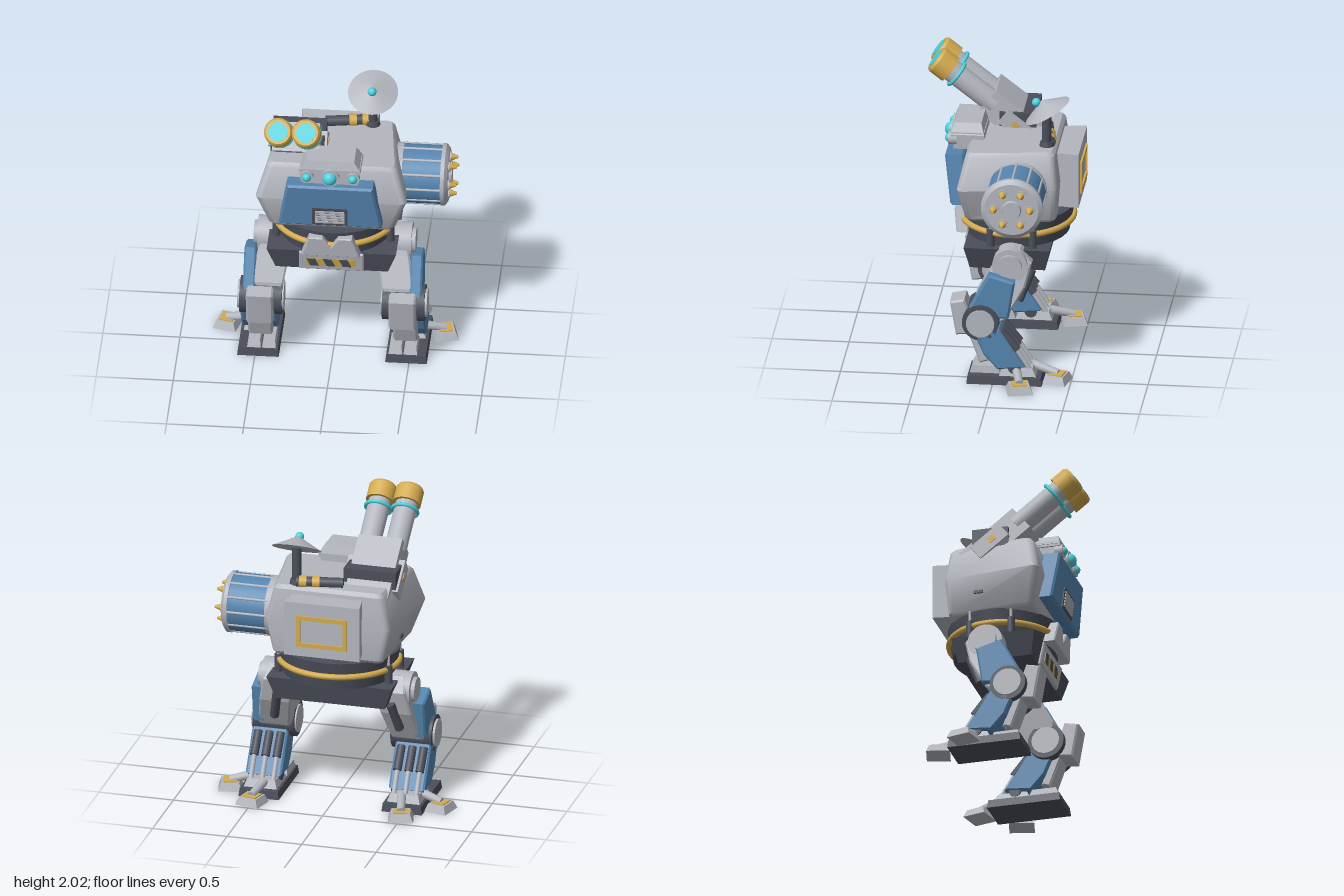
import * as THREE from 'three';
import { toCreasedNormals } from 'three/addons/utils/BufferGeometryUtils.js';

const mat = (name, color) => Object.assign(new THREE.MeshStandardMaterial({ color }), { name });
const V = (a) => new THREE.Vector3(...a);

export function createModel() {
  const gray = mat('lightGrayArmor', 0xb3b6be), blue = mat('bluePaint', 0x5585b0), dark = mat('darkMetal', 0x4b4f5a);
  const gold = mat('goldTrim', 0xd2aa4e), teal = mat('tealGlow', 0x4ccfdb);
  const root = new THREE.Group();
  root.name = 'walkerRobot';

  const group = (name, parent = root) => {
    const g = new THREE.Group();
    g.name = name;
    parent.add(g);
    return g;
  };
  const add = (parent, name, geo, m, pos = [0, 0, 0]) => {
    const mesh = new THREE.Mesh(geo, m);
    mesh.name = name;
    mesh.position.set(...pos);
    parent.add(mesh);
    return mesh;
  };
  // Box whose top face is scaled by tx, tz
  const block = (parent, name, m, [w, h, d], pos, tx = 1, tz = 1) => {
    const g = new THREE.BoxGeometry(w, h, d), p = g.attributes.position;
    for (let i = 0; i < p.count; i++) if (p.getY(i) > 0) p.setXYZ(i, p.getX(i) * tx, p.getY(i), p.getZ(i) * tz);
    g.computeVertexNormals();
    return add(parent, name, g, m, pos);
  };
  // Cylinder or cone running from a to b
  const rod = (parent, name, m, a, b, r1, r2 = r1, seg = 28) => {
    const A = V(a), B = V(b), dir = B.clone().sub(A);
    const mesh = add(parent, name, new THREE.CylinderGeometry(r2, r1, dir.length(), seg), m);
    mesh.position.copy(A).add(B).multiplyScalar(0.5);
    mesh.quaternion.setFromUnitVectors(new THREE.Vector3(0, 1, 0), dir.normalize());
    return mesh;
  };
  const extrude = (pts, depth, bevel) => new THREE.ExtrudeGeometry(new THREE.Shape(pts.map(([x, y]) => new THREE.Vector2(x, y))), {
    depth: depth - 2 * bevel, bevelEnabled: bevel > 0, bevelSize: bevel, bevelThickness: bevel, bevelOffset: -bevel, bevelSegments: 1,
  }).translate(0, 0, bevel);
  // Front outline (x, y) given depth in z, leaning forward with height
  const frontPlate = (parent, name, m, pts, z0, z1, lean = 0, y0 = 0, bevel = 0) => {
    const g = extrude(pts, z1 - z0, bevel).translate(0, 0, z0), p = g.attributes.position;
    for (let i = 0; i < p.count; i++) p.setZ(i, p.getZ(i) + (p.getY(i) - y0) * lean);
    g.computeVertexNormals();
    return add(parent, name, g, m);
  };
  // Side outline (z, y) given width in x, splaying outward below the hip
  const sidePlate = (parent, name, m, pts, s, x0, x1, splay = 0, bevel = 0.012) => {
    const g = extrude(pts, x1 - x0, bevel).rotateY(-Math.PI / 2).translate(s > 0 ? x1 : -x0, 0, 0), p = g.attributes.position;
    for (let i = 0; i < p.count; i++) p.setX(i, p.getX(i) + s * splay * (0.8 - p.getY(i)));
    g.computeVertexNormals();
    return add(parent, name, g, m);
  };
  const rect = (x0, x1, y0, y1) => [[x0, y0], [x1, y0], [x1, y1], [x0, y1]];
  // Stacked rounded rectangles: [y, half width at back, half width at front, zBack, zFront]
  const loft = (rings, r) => {
    const pos = [], idx = [], n = 16;
    for (const [y, hb, hf, zb, zf] of rings) {
      for (let j = 0; j < n; j++) {
        const k = Math.floor(j / 4), a = (k + (j % 4) / 3) * Math.PI / 2;
        const sx = k === 0 || k === 3 ? 1 : -1, front = k < 2;
        pos.push(sx * ((front ? hf : hb) - r) + r * Math.cos(a), y, (front ? zf - r : zb + r) + r * Math.sin(a));
      }
    }
    for (let i = 0; i < rings.length - 1; i++) {
      for (let j = 0; j < n; j++) {
        const a = i * n + j, b = i * n + (j + 1) % n;
        idx.push(a, a + n, b, b, a + n, b + n);
      }
    }
    const t = (rings.length - 1) * n;
    for (let j = 1; j < n - 1; j++) idx.push(0, j, j + 1, t, t + j + 1, t + j);
    const g = new THREE.BufferGeometry();
    g.setAttribute('position', new THREE.Float32BufferAttribute(pos, 3));
    g.setIndex(idx);
    return toCreasedNormals(g, 0.55);
  };

  // Torso shell, chest plate and vent
  const torso = group('torso');
  add(torso, 'torsoShell', loft([
    [1.05, 0.36, 0.39, -0.37, 0.19], [1.07, 0.375, 0.41, -0.385, 0.205], [1.29, 0.42, 0.49, -0.4, 0.25],
    [1.505, 0.37, 0.425, -0.375, 0.2], [1.53, 0.35, 0.405, -0.355, 0.18]], 0.04), gray);
  frontPlate(torso, 'chestPlate', blue, [[-0.335, 1.13], [0.335, 1.13], [0.325, 1.2], [0.28, 1.46], [-0.28, 1.46], [-0.325, 1.2]], 0.18, 0.305, 0.13, 1.13, 0.014);
  frontPlate(torso, 'ventFrame', dark, rect(-0.115, 0.115, 1.15, 1.285), 0.295, 0.312, 0.13, 1.13);
  for (let i = 0; i < 5; i++) {
    const y = 1.167 + i * 0.021;
    frontPlate(torso, 'ventSlat', gray, rect(-0.095, 0.095, y, y + 0.014), 0.31, 0.319, 0.13, 1.13);
  }

  // Backpack with a gold frame
  const pack = group('backpack');
  block(pack, 'backpackBox', gray, [0.46, 0.15, 0.37], [0, 1.295, -0.445], 1.1, 1).rotation.x = -Math.PI / 2;
  for (const s of [-1, 1]) {
    block(pack, 'frameRail', gold, [0.34, 0.028, 0.02], [0, 1.285 + s * 0.093, -0.523]);
    block(pack, 'framePost', gold, [0.028, 0.2, 0.02], [s * 0.156, 1.285, -0.523]);
    block(pack, 'sideSlot', dark, [0.012, 0.02, 0.06], [s * 0.435, 1.17, -0.16]);
  }

  // Sensor head with three eyes
  const head = group('sensorHead');
  block(head, 'headBody', gray, [0.36, 0.12, 0.2], [0, 1.52, 0.2], 1.02, 1);
  block(head, 'headHood', gray, [0.4, 0.07, 0.22], [0, 1.6, 0.21], 0.78, 0.8);
  block(head, 'headBrow', gray, [0.39, 0.03, 0.22], [0, 1.565, 0.21]);
  for (const [x, r] of [[-0.15, 0.03], [0, 0.047], [0.15, 0.03]]) {
    rod(head, 'eyeBezel', gray, [x, 1.525, 0.28], [x, 1.525, 0.335], r + 0.014);
    add(head, 'eyeLens', new THREE.SphereGeometry(r, 24, 14), teal, [x, 1.525, 0.33]);
  }

  // Waist, ring pipe and clamps
  const waist = group('waist');
  add(waist, 'waistDrum', new THREE.CylinderGeometry(0.37, 0.335, 0.19, 48), dark, [0, 0.96, -0.1]).scale.x = 1.09;
  add(waist, 'ringPipe', new THREE.TorusGeometry(0.362, 0.02, 12, 56).rotateX(Math.PI / 2), gold, [0, 0.96, -0.1]).scale.x = 1.08;
  for (const s of [-1, 1]) for (const z of [0.04, -0.235]) {
    rod(waist, 'clampPost', dark, [s * 0.37, 0.87, z], [s * 0.37, 0.99, z], 0.026);
    rod(waist, 'clampStem', gray, [s * 0.37, 0.99, z], [s * 0.37, 1.08, z], 0.01);
    rod(waist, 'clampCap', gold, [s * 0.37, 1.08, z], [s * 0.37, 1.1, z], 0.014);
  }
  frontPlate(waist, 'waistPlate', gray, [[-0.19, 0.88], [0.19, 0.88], [0.14, 1.03], [0.05, 1.03], [0, 0.95], [-0.05, 1.03], [-0.14, 1.03]], 0.21, 0.29, 0.12, 0.95, 0.008);

  // Pelvis with the hazard panel
  const pelvis = group('pelvis');
  block(pelvis, 'pelvisBlock', dark, [0.73, 0.155, 0.49], [0, 0.79, -0.07], 1.15, 1.14);
  frontPlate(pelvis, 'pelvisPlate', gray, rect(-0.21, 0.21, 0.715, 0.865), 0.15, 0.2, 0.2, 0.74, 0.008);
  frontPlate(pelvis, 'hazardPanel', gold, rect(-0.16, 0.16, 0.755, 0.815), 0.199, 0.204, 0.2, 0.74);
  for (const x of [-0.135, -0.03, 0.075]) {
    frontPlate(pelvis, 'hazardStripe', dark, [[x, 0.755], [x + 0.055, 0.755], [x + 0.03, 0.815], [x - 0.025, 0.815]], 0.203, 0.207, 0.2, 0.74);
  }

  // Rotary gun on the left side
  const gun = group('rotaryGun'), gy = 1.28, gz = -0.138;
  rod(gun, 'gunDrum', blue, [0.36, gy, gz], [0.7, gy, gz], 0.192, 0.192, 40);
  rod(gun, 'gunCollar', gray, [0.36, gy, gz], [0.44, gy, gz], 0.197, 0.197, 40);
  rod(gun, 'gunCap', gray, [0.69, gy, gz], [0.715, gy, gz], 0.202, 0.202, 40);
  rod(gun, 'gunCapBevel', gray, [0.715, gy, gz], [0.735, gy, gz], 0.202, 0.175, 40);
  rod(gun, 'gunHub', gray, [0.73, gy, gz], [0.755, gy, gz], 0.066, 0.058);
  for (let i = 0; i < 12; i++) {
    const a = i * Math.PI / 6;
    const at = (x, r) => [x, gy + r * Math.cos(a), gz + r * Math.sin(a)];
    rod(gun, 'gunRib', gray, at(0.42, 0.191), at(0.7, 0.191), 0.009, 0.009, 8);
    if (i % 2) {
      rod(gun, 'barrelSeat', gray, at(0.73, 0.118), at(0.745, 0.118), 0.034, 0.034, 20);
      rod(gun, 'barrelTip', gold, at(0.74, 0.118), at(0.79, 0.118), 0.027, 0.008, 20);
    }
  }

  // Twin tube launcher on the right shoulder
  block(root, 'launcherMount', dark, [0.35, 0.13, 0.24], [-0.235, 1.56, -0.09]);
  const launcher = group('launcher');
  launcher.position.set(-0.235, 1.69, 0.115);
  launcher.rotation.x = -0.66;
  block(launcher, 'launcherBox', gray, [0.31, 0.19, 0.46], [0, 0, -0.23], 0.95, 0.98);
  for (const s of [-1, 1]) {
    block(launcher, 'launcherBracket', gray, [0.04, 0.11, 0.24], [s * 0.17, 0.0, -0.26]);
    block(launcher, 'bracketMark', gold, [0.008, 0.04, 0.05], [s * 0.191, 0, -0.24]);
    const x = s * 0.09;
    rod(launcher, 'launchTube', gray, [x, 0, -0.06], [x, 0, 0.33], 0.073);
    add(launcher, 'tubeRing', new THREE.TorusGeometry(0.083, 0.012, 10, 36), teal, [x, 0, 0.255]);
    rod(launcher, 'tubeCap', gold, [x, 0, 0.305], [x, 0, 0.41], 0.092);
    rod(launcher, 'tubeCapRim', gold, [x, 0, 0.41], [x, 0, 0.428], 0.092, 0.08);
    rod(launcher, 'tubeLens', teal, [x, 0, 0.425], [x, 0, 0.432], 0.063);
  }

  // Dish antenna and the canister beside it
  const antenna = group('antenna');
  rod(antenna, 'mast', dark, [0.225, 1.5, -0.31], [0.225, 1.8, -0.31], 0.03);
  rod(antenna, 'mastBase', dark, [0.225, 1.52, -0.31], [0.225, 1.56, -0.31], 0.05, 0.04);
  rod(antenna, 'dish', gray, [0.225, 1.772, -0.317], [0.225, 1.842, -0.277], 0.162, 0.004, 40);
  rod(antenna, 'dishStem', gray, [0.225, 1.81, -0.29], [0.225, 1.827, -0.243], 0.01);
  add(antenna, 'dishBall', new THREE.SphereGeometry(0.029, 20, 14), teal, [0.225, 1.827, -0.243]);
  const along = (t) => [-0.08 + 0.3 * t, 1.55, -0.285 - 0.05 * t];
  rod(antenna, 'canister', dark, along(0), along(1), 0.035);
  for (const t of [0.5, 0.78]) rod(antenna, 'canisterBand', gold, along(t), along(t + 0.16), 0.041);

  // Legs
  for (const s of [-1, 1]) {
    const leg = group(s > 0 ? 'leftLeg' : 'rightLeg');
    const joint = (name, m, y, z, x0, x1, r) => rod(leg, name, m, [s * x0, y, z], [s * x1, y, z], r, r, 32);
    sidePlate(leg, 'thigh', gray, [[-0.03, 0.87], [-0.16, 0.89], [-0.24, 0.8], [-0.2, 0.64], [-0.08, 0.43], [0.02, 0.37], [0.15, 0.42], [0.13, 0.55], [0.03, 0.74]], s, 0.27, 0.48, 0.19);
    joint('hipDisc', gray, 0.785, -0.1, 0.3, 0.5, 0.115);
    joint('hipHub', gray, 0.785, -0.1, 0.4, 0.525, 0.08);
    sidePlate(leg, 'thighArmor', blue, [[0.03, 0.75], [-0.14, 0.7], [-0.1, 0.45], [0.04, 0.44], [0.165, 0.5]], s, 0.5, 0.58);
    rod(leg, 'thighPiston', dark, [s * 0.38, 0.72, -0.23], [s * 0.42, 0.52, -0.15], 0.03);
    joint('kneeDrum', dark, 0.42, 0.08, 0.325, 0.6, 0.12);
    joint('kneeDisc', gray, 0.42, 0.08, 0.315, 0.615, 0.092);
    sidePlate(leg, 'kneePlate', gray, [[0.285, 0.54], [0.19, 0.56], [0.12, 0.36], [0.15, 0.32], [0.245, 0.31]], s, 0.375, 0.55);
    sidePlate(leg, 'shin', blue, [[0.13, 0.36], [-0.04, 0.38], [-0.11, 0.27], [-0.21, 0.12], [-0.03, 0.1], [0.06, 0.2]], s, 0.36, 0.6);
    sidePlate(leg, 'shinPlate', gray, [[0.17, 0.34], [0.1, 0.34], [0.03, 0.14], [0.09, 0.12]], s, 0.39, 0.55);
    for (const x of [0.405, 0.48, 0.555]) {
      rod(leg, 'calfPiston', dark, [s * x, 0.36, -0.05], [s * x, 0.23, -0.155], 0.028, 0.028, 16);
      rod(leg, 'calfRod', gray, [s * x, 0.24, -0.145], [s * x, 0.09, -0.24], 0.016, 0.016, 12);
    }
    // Foot: sole, two front toe caps and two outrigger toes
    const foot = group('foot', leg);
    block(foot, 'sole', dark, [0.27, 0.055, 0.49], [s * 0.48, 0.0275, -0.075], 0.95, 0.97);
    block(foot, 'instep', gray, [0.22, 0.05, 0.24], [s * 0.48, 0.08, -0.16], 0.85, 0.8);
    joint('ankle', dark, 0.11, -0.14, 0.37, 0.59, 0.04);
    for (const x of [0.41, 0.507]) block(foot, 'toeCap', gray, [0.09, 0.05, 0.2], [s * x, 0.078, 0.055], 0.85, 0.8);
    for (const [x, z, yaw] of [[0.705, -0.185, 1.81], [0.5, -0.41, 2.9]]) {
      const toe = group('outriggerToe', foot);
      toe.position.set(s * x, 0, z);
      toe.rotation.y = s * yaw;
      block(toe, 'toePad', gray, [0.165, 0.052, 0.155], [0, 0.026, 0], 0.75, 0.75);
      block(toe, 'toeInset', gold, [0.1, 0.008, 0.09], [0, 0.054, 0]);
      rod(toe, 'toeLink', gray, [0, 0.055, 0.005], [0, 0.095, -0.16], 0.026, 0.03, 12);
    }
  }
  return root;
}
